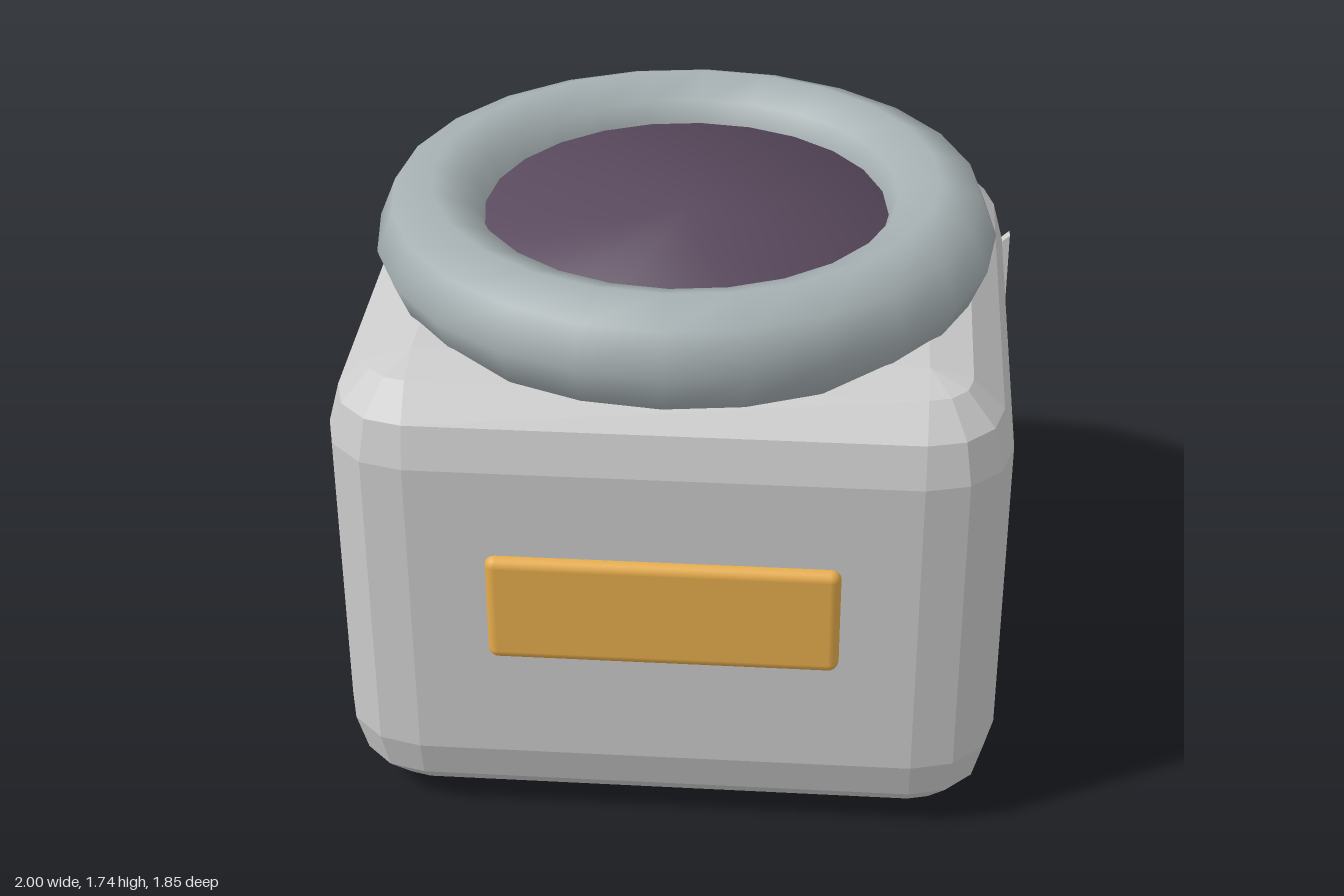
import * as THREE from 'three';
import { RoundedBoxGeometry } from 'three/addons/geometries/RoundedBoxGeometry.js';

const CX = -0.02; // centre line of the pot

function material(color, flatShading = false) {
  return new THREE.MeshStandardMaterial({ color, flatShading });
}

function add(parent, name, geometry, mat, x = 0, y = 0, z = 0) {
  const mesh = new THREE.Mesh(geometry, mat);
  mesh.name = name;
  mesh.position.set(x, y, z);
  parent.add(mesh);
  return mesh;
}

// Box with evenly bevelled edges: stacked rings, each with four rounded corners
function bevelledBox(w, h, d, r, steps) {
  const pos = [], index = [];
  const ring = 4 * (steps + 1);
  const rows = 2 * (steps + 1);
  for (let j = 0; j < rows; j++) {
    const upper = j > steps;
    const lat = ((upper ? j - steps - 1 : j - steps) / steps) * Math.PI / 2;
    const y = (upper ? h / 2 - r : r - h / 2) + r * Math.sin(lat);
    for (let c = 0; c < 4; c++) {
      const sx = c === 0 || c === 3 ? 1 : -1;
      const sz = c < 2 ? 1 : -1;
      for (let k = 0; k <= steps; k++) {
        const a = (c + k / steps) * Math.PI / 2;
        pos.push(sx * (w / 2 - r) + r * Math.cos(lat) * Math.cos(a), y,
          sz * (d / 2 - r) + r * Math.cos(lat) * Math.sin(a));
      }
    }
  }
  for (let j = 0; j < rows - 1; j++) {
    for (let i = 0; i < ring; i++) {
      const a = j * ring + i, b = j * ring + (i + 1) % ring;
      index.push(a, a + ring, b, b, a + ring, b + ring);
    }
  }
  // flat bottom and top
  const s = steps + 1, t = (rows - 1) * ring;
  index.push(0, s, 2 * s, 0, 2 * s, 3 * s);
  index.push(t, t + 2 * s, t + s, t, t + 3 * s, t + 2 * s);
  const g = new THREE.BufferGeometry();
  g.setAttribute('position', new THREE.Float32BufferAttribute(pos, 3));
  g.setIndex(index);
  g.computeVertexNormals();
  return g;
}

// Raised fish skeleton on the back, head towards -x
function fishBones(grey, purple) {
  const fish = new THREE.Group();
  fish.name = 'fishBones';
  const midY = 0.735;

  const head = add(fish, 'fishHead', new THREE.SphereGeometry(1, 32, 16), grey, -0.51, midY, -0.885);
  head.scale.set(0.285, 0.25, 0.028);
  const eye = add(fish, 'fishEye', new THREE.SphereGeometry(1, 20, 12), purple, -0.56, 0.815, -0.905);
  eye.scale.set(0.06, 0.065, 0.022);

  add(fish, 'spine', new RoundedBoxGeometry(0.88, 0.05, 0.04, 2, 0.012), grey, 0.18, midY, -0.888);

  for (const side of [1, -1]) {
    // three swept ribs on each side of the spine
    for (let i = 0; i < 3; i++) {
      const rib = add(fish, 'rib', new RoundedBoxGeometry(0.43, 0.05, 0.04, 2, 0.012), grey,
        0.4 - i * 0.26, midY + side * 0.175, -0.888);
      rib.rotation.z = side * Math.atan2(0.34, 0.25);
    }
    // tail fin
    const fin = new THREE.Shape([[0.58, 0], [1, side * 0.065], [1, side * 0.385]]
      .map(([x, y]) => new THREE.Vector2(x, y)));
    add(fish, 'tailFin', new THREE.ExtrudeGeometry(fin, { depth: 0.037, bevelEnabled: false }),
      grey, 0, midY, -0.906);
  }
  return fish;
}

export function createModel() {
  const model = new THREE.Group();
  model.name = 'fishPot';
  const grey = material(0xcccccc);
  const purple = material(0x5a4a5e);

  // Squared body
  add(model, 'body', bevelledBox(1.96, 1.475, 1.785, 0.25, 3), material(0xcccccc, true), CX, 0.7375, 0.0025);

  // Thick rolled rim
  const rim = new THREE.TorusGeometry(0.753, 0.172, 8, 24);
  rim.rotateX(Math.PI / 2);
  add(model, 'rim', rim, material(0xa6b0b2), CX, 1.565, 0);

  // Filling inside the rim, softly shaded towards its edge
  const profile = [[0, 1.2], [0.61, 1.2], [0.61, 1.62], [0, 1.62]].map(([x, y]) => new THREE.Vector2(x, y));
  add(model, 'filling', new THREE.LatheGeometry(profile, 24), purple, CX, 0, 0);

  // Front plaque
  add(model, 'plaque', new RoundedBoxGeometry(1.015, 0.345, 0.1, 3, 0.03), material(0xe6ac4c), CX, 0.777, 0.875);

  model.add(fishBones(grey, purple));
  return model;
}
